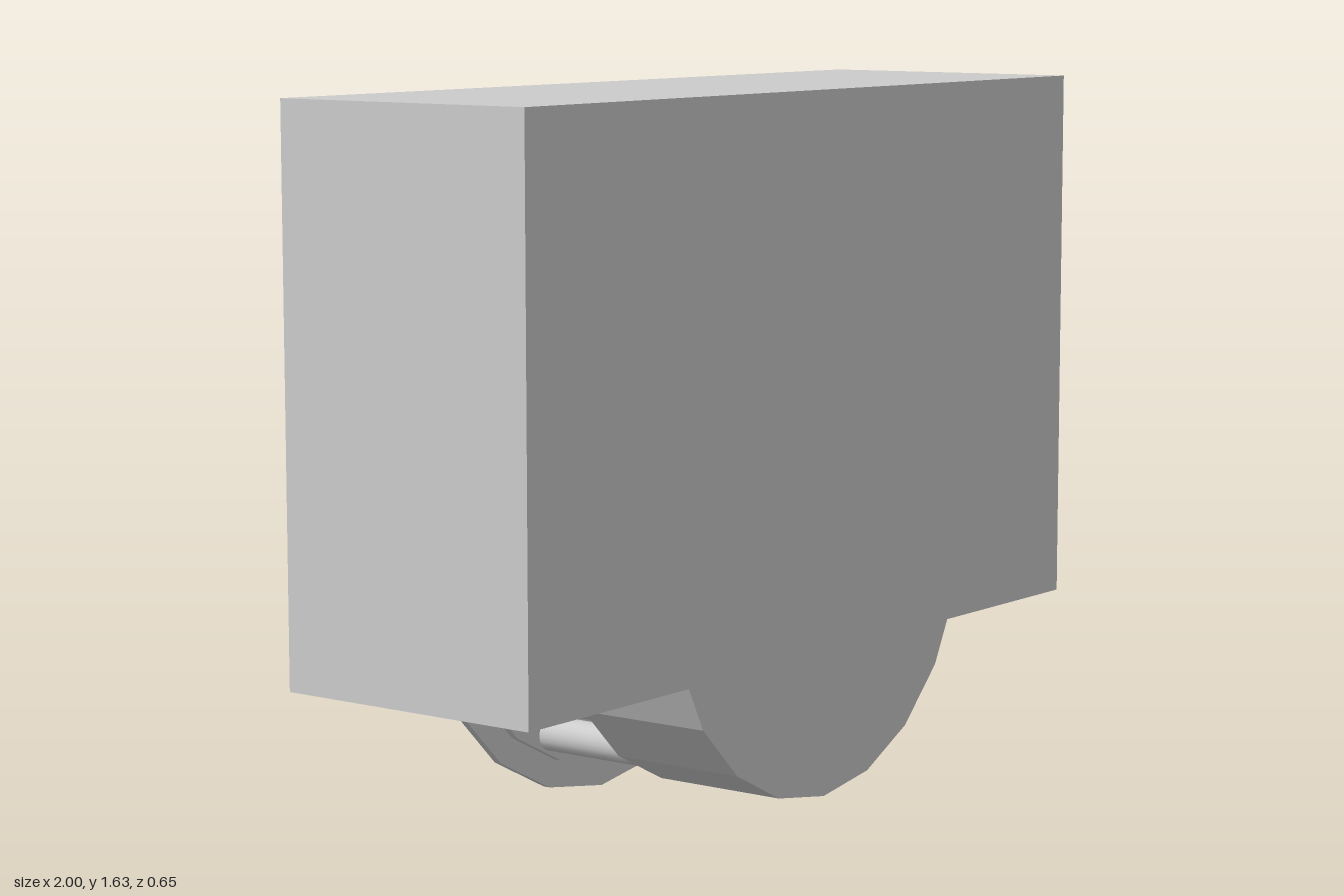
import * as THREE from 'three';

const BASE_Y = 0.395;                     // underside of the body
const TOP_Y = 1.635;
const HALF_DEPTH = 0.325;
const AXIS = { x: 0.022, y: 0.62 };       // wheel axis, inside the body
const STEP = Math.PI / 10;                // twenty-sided wheel

const flat = new THREE.MeshStandardMaterial({ color: 0xcccccc, flatShading: true });
const smooth = new THREE.MeshStandardMaterial({ color: 0xcccccc });

// Part of a twenty-sided disc that hangs below the body, from z0 to z1
function discSegment(name, radius, z0, z1) {
  const points = [];
  for (let i = -3; i <= 3; i++) {
    points.push(new THREE.Vector2(
      AXIS.x + radius * Math.sin(i * STEP),
      AXIS.y - radius * Math.cos(i * STEP)));
  }
  // cut the next edge on each side where it meets the body
  const ya = AXIS.y - radius * Math.cos(3 * STEP);
  const yb = AXIS.y - radius * Math.cos(4 * STEP);
  const t = (BASE_Y - ya) / (yb - ya);
  const half = radius * THREE.MathUtils.lerp(Math.sin(3 * STEP), Math.sin(4 * STEP), t);
  points.push(new THREE.Vector2(AXIS.x + half, BASE_Y));
  points.push(new THREE.Vector2(AXIS.x - half, BASE_Y));
  const geometry = new THREE.ExtrudeGeometry(new THREE.Shape(points),
    { depth: z1 - z0, bevelEnabled: false });
  geometry.translate(0, 0, z0);
  const mesh = new THREE.Mesh(geometry, flat);
  mesh.name = name;
  return mesh;
}

export function createModel() {
  const model = new THREE.Group();
  model.name = 'housingWithWheel';

  // Box-shaped body
  const body = new THREE.Mesh(
    new THREE.BoxGeometry(2, TOP_Y - BASE_Y, 2 * HALF_DEPTH), flat);
  body.position.y = (TOP_Y + BASE_Y) / 2;
  body.name = 'body';
  model.add(body);

  // Thick front wheel, thin rear flange and larger back plate
  model.add(discSegment('frontWheel', 0.55, 0, HALF_DEPTH));
  model.add(discSegment('rearFlange', 0.55, -0.307, -0.29));
  model.add(discSegment('backPlate', 0.615, -HALF_DEPTH, -0.307));

  // Round pins joining the wheel and the flange
  const pins = new THREE.Group();
  pins.name = 'pins';
  const pinGeometry = new THREE.CylinderGeometry(0.04, 0.04, 0.29, 20).rotateX(Math.PI / 2);
  for (const degrees of [-50.6, -24.5, 21.5, 50.6]) {
    const a = THREE.MathUtils.degToRad(degrees);
    const pin = new THREE.Mesh(pinGeometry, smooth);
    pin.position.set(AXIS.x + 0.497 * Math.sin(a), AXIS.y - 0.497 * Math.cos(a), -0.145);
    pin.name = 'pin';
    pins.add(pin);
  }
  model.add(pins);
  return model;
}
